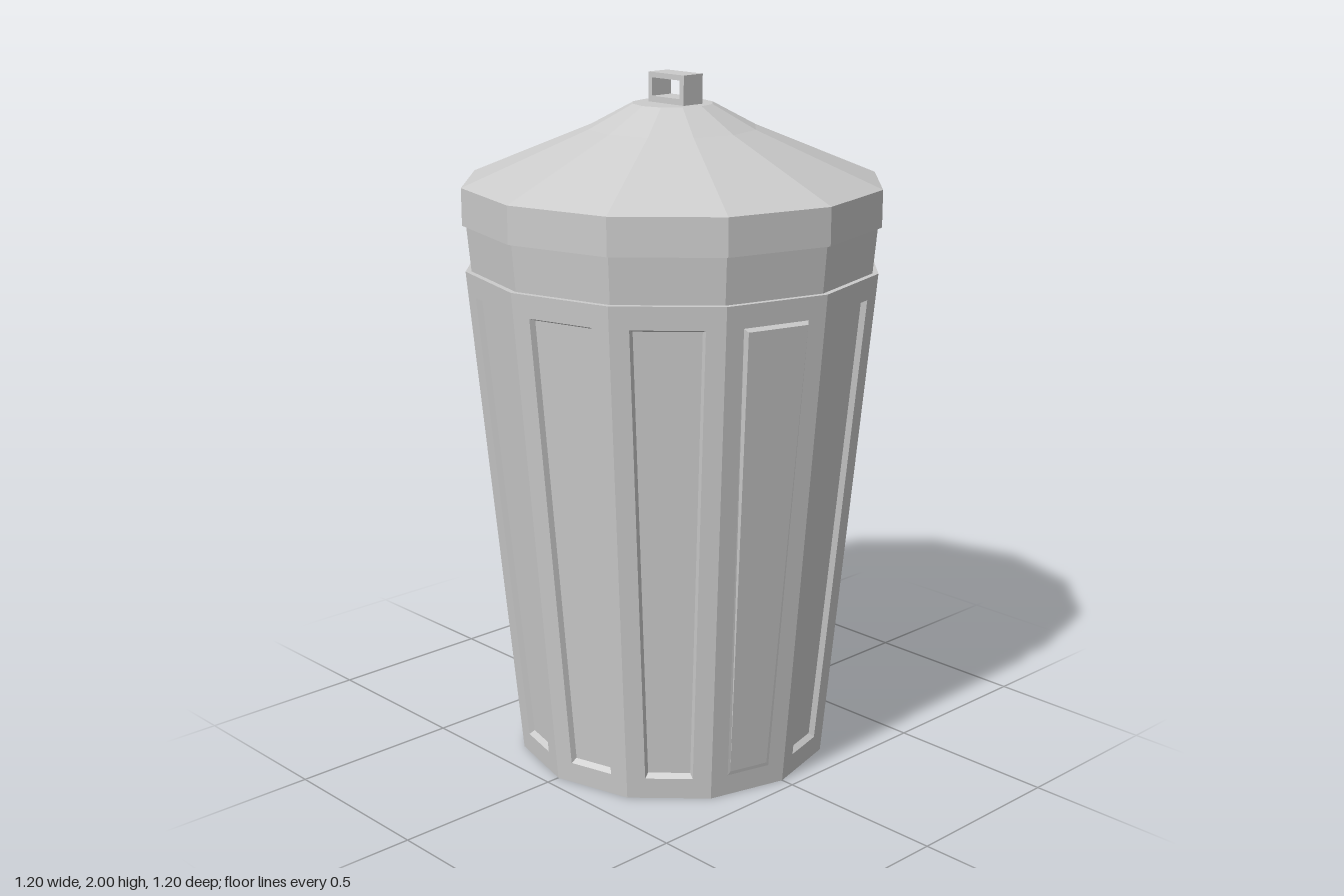
import * as THREE from 'three';

const SIDES = 12;
const STEP = (Math.PI * 2) / SIDES;
const WALL = { y0: 0, y1: 1.465, r0: 0.46, r1: 0.595 };

const material = () => new THREE.MeshStandardMaterial({ color: 0xcccccc, flatShading: true });

function addMesh(parent, name, geometry) {
  const mesh = new THREE.Mesh(geometry, material());
  mesh.name = name;
  parent.add(mesh);
  return mesh;
}

// twelve-sided turned part from [radius, height] pairs, listed bottom to top
function turned(profile) {
  return new THREE.LatheGeometry(profile.map(([r, y]) => new THREE.Vector2(r, y)), SIDES);
}

// one flat side of the tapered wall, with a framed panel set into (or out of) it
function wallSide(index, depthBottom, depthTop) {
  const a0 = index * STEP, a1 = a0 + STEP, mid = a0 + STEP / 2;
  const slope = (WALL.r1 - WALL.r0) / (WALL.y1 - WALL.y0);
  const normal = new THREE.Vector3(Math.sin(mid), -slope * Math.cos(STEP / 2), Math.cos(mid)).normalize();

  // loop of corners at two heights, a margin in from the side edges
  const loop = (yBottom, yTop, margin, dBottom = 0, dTop = 0) => {
    const corner = (y, right, depth) => {
      const r = WALL.r0 + slope * (y - WALL.y0);
      const a = new THREE.Vector3(r * Math.sin(a0), y, r * Math.cos(a0));
      const b = new THREE.Vector3(r * Math.sin(a1), y, r * Math.cos(a1));
      const t = margin / a.distanceTo(b);
      return a.lerp(b, right ? 1 - t : t).addScaledVector(normal, -depth);
    };
    return [
      corner(yBottom, false, dBottom), corner(yBottom, true, dBottom),
      corner(yTop, true, dTop), corner(yTop, false, dTop),
    ];
  };

  const loops = [
    loop(WALL.y0, WALL.y1, 0),
    loop(0.063, 1.4, 0.053),
    loop(0.074, 1.392, 0.061, depthBottom, depthTop),
  ];
  const positions = [];
  const quad = (a, b, c, d) => [a, b, c, a, c, d].forEach((p) => positions.push(p.x, p.y, p.z));
  for (let i = 0; i < 2; i++) {
    for (let k = 0; k < 4; k++) {
      const n = (k + 1) % 4;
      quad(loops[i][k], loops[i][n], loops[i + 1][n], loops[i + 1][k]);
    }
  }
  quad(...loops[2]);

  const geometry = new THREE.BufferGeometry();
  geometry.setAttribute('position', new THREE.Float32BufferAttribute(positions, 3));
  geometry.computeVertexNormals();
  return geometry;
}

export function createModel() {
  const model = new THREE.Group();
  model.name = 'trashCan';

  // tapered wall with a panel on every side; one panel bulges out at its top
  const wall = new THREE.Group();
  wall.name = 'wall';
  model.add(wall);
  for (let i = 0; i < SIDES; i++) {
    const bulging = i === 2;
    addMesh(wall, `wallPanel${i + 1}`, wallSide(i, bulging ? -0.001 : 0.015, bulging ? -0.012 : 0.015));
  }

  // floor
  addMesh(model, 'floor', turned([[0, 0], [WALL.r0, 0]]));

  // stepped neck above the wall
  addMesh(model, 'neck', turned([[WALL.r1, WALL.y1], [0.578, WALL.y1], [0.592, 1.62]]));

  // lid with a vertical skirt and a slightly flared cone
  addMesh(model, 'lid', turned([
    [0, 1.595], [0.601, 1.595], [0.601, 1.7], [0.24, 1.85], [0.115, 1.917], [0, 1.917],
  ]));

  // rectangular loop handle
  const frame = new THREE.Shape([
    [-0.067, 1.915], [0.076, 1.915], [0.076, 2], [-0.067, 2],
  ].map(([x, y]) => new THREE.Vector2(x, y)));
  frame.holes.push(new THREE.Path([
    [-0.051, 1.934], [-0.051, 1.985], [0.06, 1.985], [0.06, 1.934],
  ].map(([x, y]) => new THREE.Vector2(x, y))));
  const handle = addMesh(model, 'handle', new THREE.ExtrudeGeometry(frame, { depth: 0.073, bevelEnabled: false }));
  handle.position.z = -0.042;

  return model;
}
